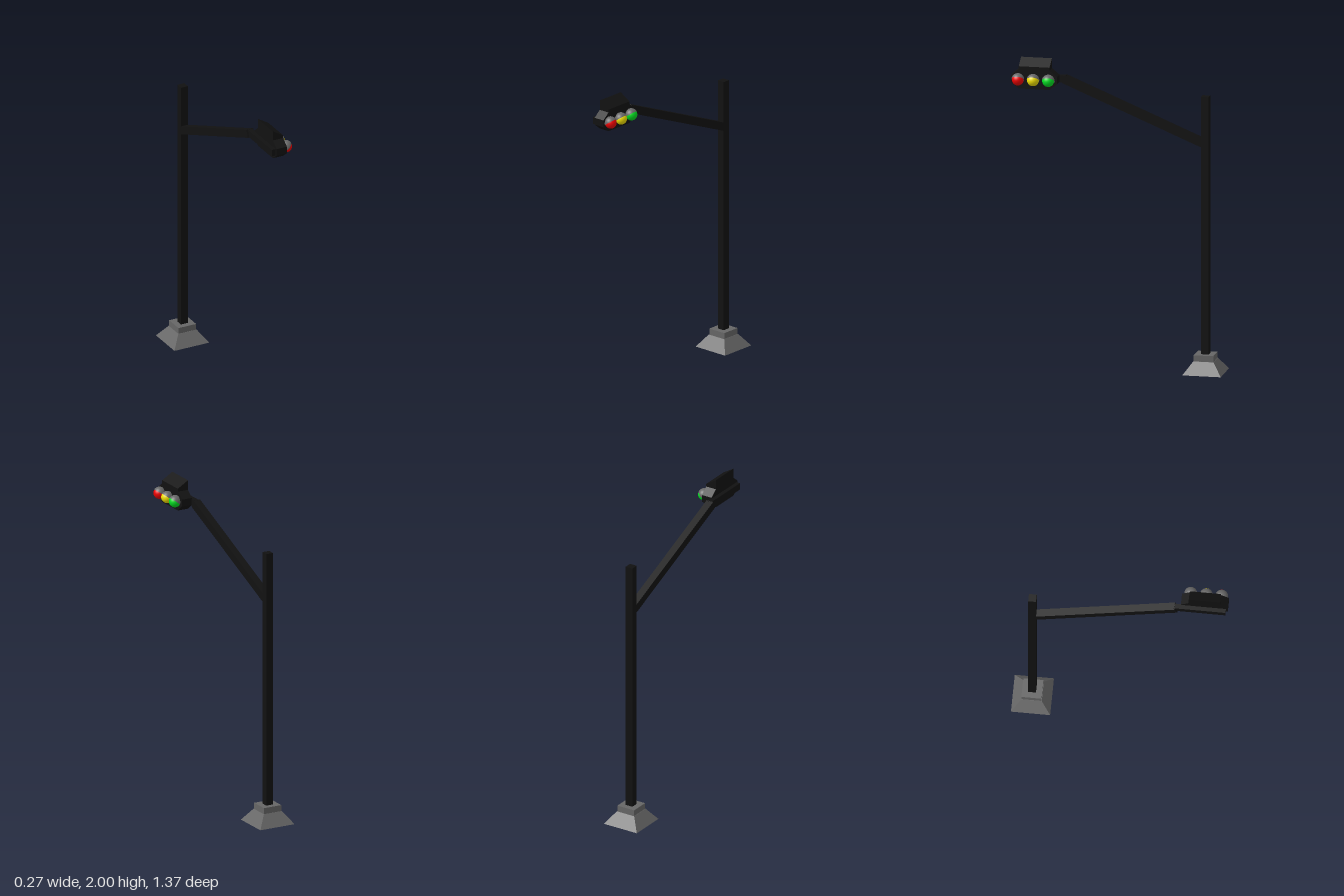
import * as THREE from 'three';

const mat = (color, side = THREE.FrontSide) =>
  new THREE.MeshStandardMaterial({ color, side });

export function createModel() {
  const model = new THREE.Group();
  const black = mat(0x111111);
  const grey = mat(0x666666);
  const visorGrey = mat(0x666666, THREE.DoubleSide);
  const poleX = -0.0125, poleZ = -0.562;

  const add = (name, geometry, material, x = 0, y = 0, z = 0) => {
    const mesh = new THREE.Mesh(geometry, material);
    mesh.name = name;
    mesh.position.set(x, y, z);
    model.add(mesh);
    return mesh;
  };
  const box = (name, w, h, d, material, x, y, z) =>
    add(name, new THREE.BoxGeometry(w, h, d), material, x, y, z);

  // Foot: four-sided frustum with a square collar
  const foot = new THREE.CylinderGeometry(0.066 * Math.SQRT2, 0.125 * Math.SQRT2, 0.08, 4)
    .rotateY(Math.PI / 4).toNonIndexed();
  foot.computeVertexNormals();
  add('foot', foot, grey, poleX, 0.04, poleZ);
  box('footCollar', 0.127, 0.05, 0.127, grey, poleX, 0.095, poleZ);

  // Square pole
  box('pole', 0.05, 1.7, 0.05, black, poleX, 0.95, poleZ);

  // Sloping arm from the pole up to the lamp
  const start = new THREE.Vector3(poleX, 1.495, -0.545);
  const end = new THREE.Vector3(poleX, 1.868, 0.355);
  const mid = start.clone().lerp(end, 0.5);
  const arm = box('arm', 0.0495, 0.052, start.distanceTo(end), black, mid.x, mid.y, mid.z);
  arm.rotation.x = -Math.atan2(end.y - start.y, end.z - start.z);

  // Level bar behind the housing
  box('housingBar', 0.032, 0.045, 0.33, black, -0.011, 1.868, 0.505);

  // Housing: long plate with chamfered ends, facing +x
  const lampY = 1.873, lampZ = 0.533, depth = 0.074;
  const outline = new THREE.Shape([
    [-0.15, -0.023], [-0.1, -0.063], [0.1, -0.063], [0.15, -0.023],
    [0.15, 0.023], [0.1, 0.063], [-0.1, 0.063], [-0.15, 0.023],
  ].map(([a, b]) => new THREE.Vector2(a, b)));
  const housing = new THREE.ExtrudeGeometry(outline, { depth, bevelEnabled: false });
  housing.rotateY(Math.PI / 2);
  add('housing', housing, black, 0, lampY, lampZ);

  // Wedge on top of the housing, sloping down to the front
  const wedge = new THREE.Shape([
    [0, 1.93], [depth, 1.93], [depth, 1.955], [0, 2],
  ].map(([a, b]) => new THREE.Vector2(a, b)));
  add('topWedge', new THREE.ExtrudeGeometry(wedge, { depth: 0.2, bevelEnabled: false }),
    black, 0, 0, lampZ - 0.1);

  // Three round lamps, each under a tilted half-shell visor
  [['green', 0x00dd22], ['yellow', 0xeedd00], ['red', 0xee0000]].forEach(([name, color], i) => {
    const z = lampZ + 0.003 + (i - 1) * 0.0985;
    add(name + 'Lamp', new THREE.SphereGeometry(0.038, 32, 20), mat(color), 0.094, lampY, z);
    const shell = new THREE.SphereGeometry(0.0405, 32, 12, 0, Math.PI * 2, 0, Math.PI / 2);
    add(name + 'Visor', shell, visorGrey, 0.093, lampY, z).rotation.z = THREE.MathUtils.degToRad(38);
  });

  return model;
}
